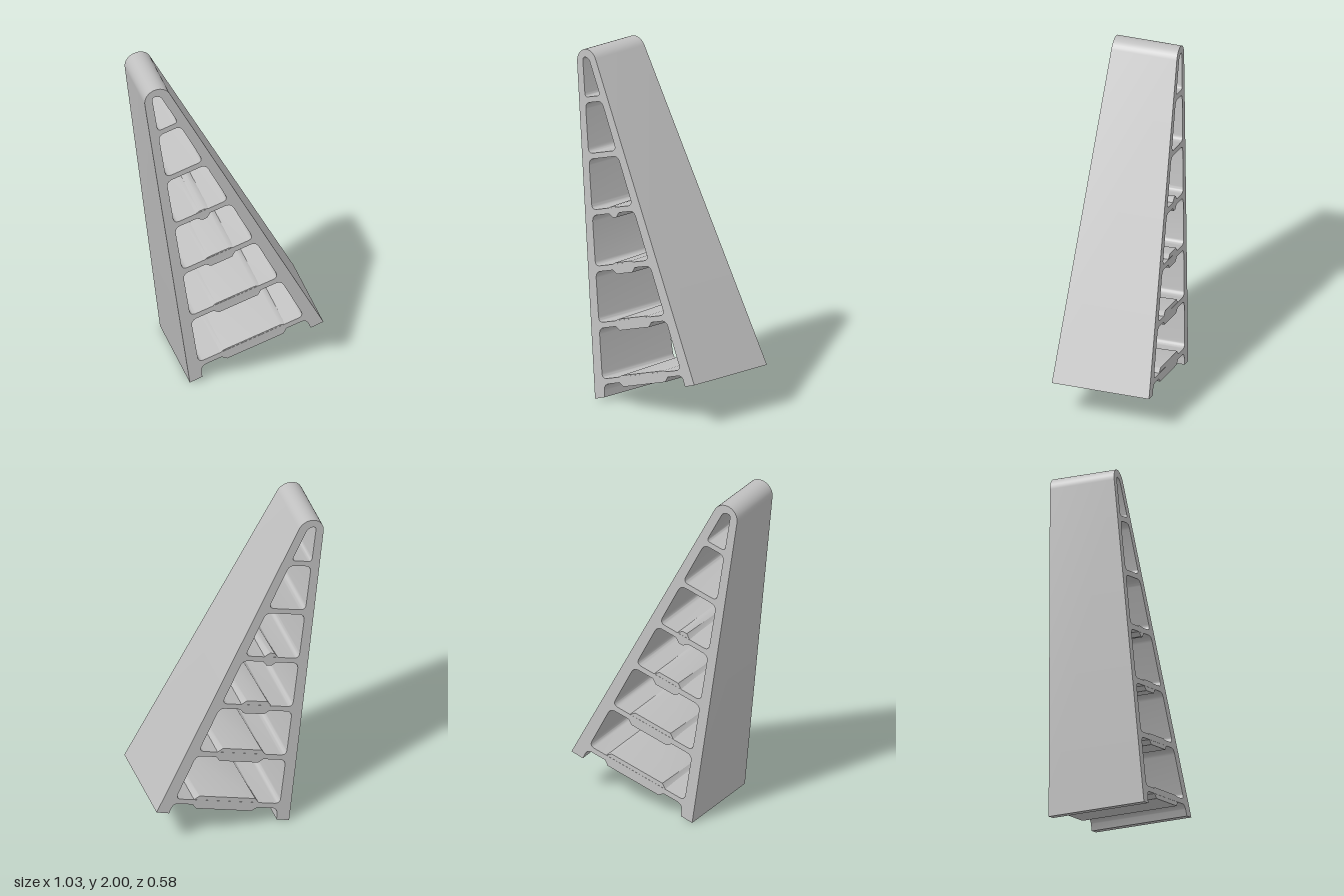
import * as THREE from 'three';
import { toCreasedNormals } from 'three/addons/utils/BufferGeometryUtils.js';

const V = (x, y) => new THREE.Vector2(x, y);
const along = V(0.958, 0.287);   // direction of the cross ribs
const axis = V(-0.287, 0.958);   // direction of the finger, base to tip
const RIB = 0.016;               // half thickness of a rib

// Inner faces of the two walls, as [lower point, upper point]
const leftWall = [V(-0.222, 0.1), V(-0.443, 1.73)];
const rightWall = [V(0.394, 0.317), V(-0.331, 1.772)];

// Rib centres are evenly spaced up the finger
const ribs = [];
for (let i = 0; i < 6; i++) ribs.push(V(0.098 - 0.0945 * i, 0.206 + 0.3035 * i));

// Where the edge of a rib, offset by h, meets a wall
function meet(centre, h, [a, b]) {
  const target = centre.dot(axis) + h;
  const k = (target - a.dot(axis)) / (b.dot(axis) - a.dot(axis));
  return a.clone().lerp(b, k);
}

// Closed path with each corner softened over a distance
function roundedPath(corners, cut) {
  const path = new THREE.Path();
  const n = corners.length;
  corners.forEach((p, i) => {
    const before = corners[(i + n - 1) % n], after = corners[(i + 1) % n];
    const a = p.clone().add(before.clone().sub(p).setLength(cut));
    const b = p.clone().add(after.clone().sub(p).setLength(cut));
    if (i === 0) path.moveTo(a.x, a.y); else path.lineTo(a.x, a.y);
    path.quadraticCurveTo(p.x, p.y, b.x, b.y);
  });
  path.closePath();
  return path;
}

// Extrude to z = -1..1, then taper the depth from base to tip
function taperedExtrude(shape, inset, adjust) {
  const geo = new THREE.ExtrudeGeometry(shape, { depth: 2, bevelEnabled: false, curveSegments: 8 });
  const pos = geo.attributes.position;
  for (let i = 0; i < pos.count; i++) {
    const p = V(pos.getX(i), pos.getY(i));
    const side = pos.getZ(i) - 1;
    const half = 0.286 - 0.096 * (p.dot(axis) - 0.085) / 1.955 - inset;
    const z = -0.011 * p.x + side * half;
    if (adjust) adjust(p, side);
    pos.setXYZ(i, p.x, p.y, z);
  }
  return toCreasedNormals(geo, 0.5);
}

export function createModel() {
  const group = new THREE.Group();
  group.name = 'ribbedFinger';
  const grey = new THREE.MeshStandardMaterial({ color: 0xc0c0c0 });
  grey.name = 'plain grey';

  // Outline: two legs, two long walls and a rounded tip
  const outline = new THREE.Shape();
  outline.moveTo(-0.278, 0);
  outline.lineTo(-0.204, 0.024);
  outline.lineTo(-0.207, 0.062);
  outline.quadraticCurveTo(-0.211, 0.098, -0.172, 0.109);
  outline.lineTo(0.378, 0.274);
  outline.quadraticCurveTo(0.407, 0.283, 0.42, 0.259);
  outline.lineTo(0.437, 0.224);
  outline.lineTo(0.511, 0.248);
  outline.lineTo(-0.369, 1.958);
  outline.absarc(-0.438, 1.922, 0.078, 0.477, Math.PI + 0.122, false);
  outline.closePath();

  // Openings between neighbouring ribs, and the small one at the tip
  ribs.forEach((rib, i) => {
    const low = [meet(rib, RIB, leftWall), meet(rib, RIB, rightWall)];
    const next = ribs[i + 1];
    const high = next
      ? [meet(next, -RIB, rightWall), meet(next, -RIB, leftWall)]
      : [V(-0.424, 1.952), V(-0.473, 1.952)];
    outline.holes.push(roundedPath([...low, ...high], next ? 0.036 : 0.024));
  });

  const frame = new THREE.Mesh(taperedExtrude(outline, 0), grey);
  frame.name = 'ribbedFrame';
  group.add(frame);

  // Thickened pads in the middle of the four lower ribs
  [0.203, 0.15, 0.094, 0.044].forEach((length, i) => {
    const c = ribs[i], chamfer = 0.03;
    const corner = (s, h) => c.clone().addScaledVector(along, s).addScaledVector(axis, h);
    const pad = new THREE.Shape([
      corner(-length, -0.014), corner(-length + chamfer, -0.041),
      corner(length - chamfer, -0.041), corner(length, -0.014),
      corner(length, 0.014), corner(length - chamfer, 0.041),
      corner(-length + chamfer, 0.041), corner(-length, 0.014),
    ]);
    // The top of each pad slopes down towards the front
    const slope = (p, side) => {
      const h = p.dot(axis) - c.dot(axis);
      if (side > 0 && h > 0.03) p.addScaledVector(axis, -0.018);
    };
    const mesh = new THREE.Mesh(taperedExtrude(pad, 0.001, slope), grey);
    mesh.name = 'ribPad' + (i + 1);
    group.add(mesh);
  });

  return group;
}
